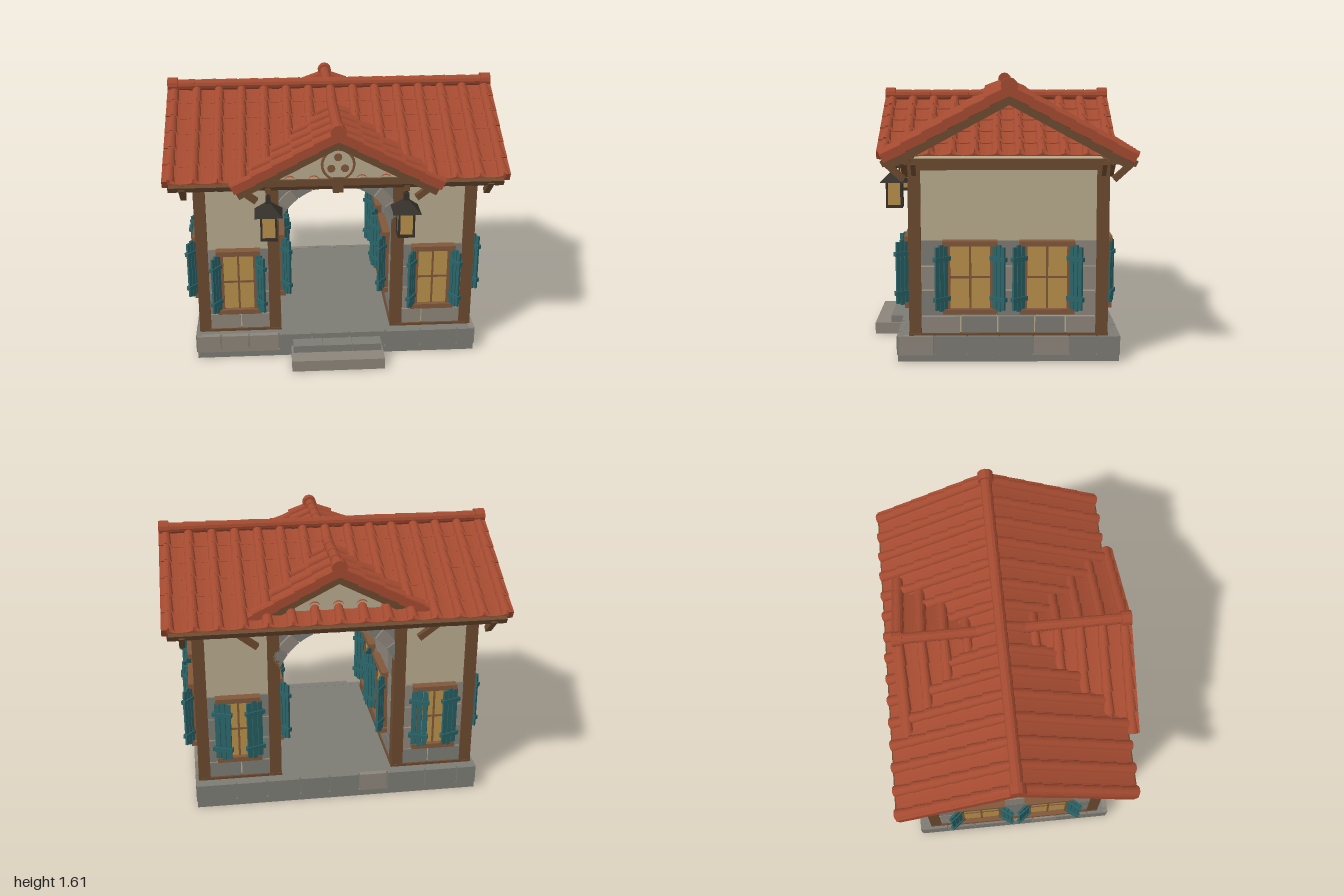
import * as THREE from 'three';
import { mergeGeometries } from 'three/addons/utils/BufferGeometryUtils.js';

const C = { tile: 0xa34a30, darkTile: 0x7a3524, wood: 0x6b4a2f, trim: 0x80573a, plaster: 0xb8aa8c, stone: 0x7c7b74,
  paleStone: 0x8c857a, teal: 0x2a6468, amber: 0xb8904a, iron: 0x35302a };
const MID = -0.055; // z of the house's middle line

let seed = 7;
const rnd = () => (seed = (seed * 16807) % 2147483647) / 2147483647;

const box = (w, h, d, x = 0, y = 0, z = 0) => new THREE.BoxGeometry(w, h, d).translate(x, y, z);

// a square bar between two points
function bar(a, b, t) {
  const p = new THREE.Vector3(...a), q = new THREE.Vector3(...b);
  const m = new THREE.Matrix4().lookAt(q, p, new THREE.Vector3(0, 1, 0)).setPosition(p.clone().add(q).multiplyScalar(0.5));
  return box(t, t, p.distanceTo(q)).applyMatrix4(m);
}

// merges pieces of one colour into a named mesh
function add(parent, name, color, geos, side = THREE.FrontSide) {
  const geo = mergeGeometries(geos.map(g => (g.index ? g.toNonIndexed() : g)));
  const mesh = new THREE.Mesh(geo, new THREE.MeshStandardMaterial({ color, side, flatShading: true }));
  mesh.name = name;
  parent.add(mesh);
  return mesh;
}

function group(parent, name, x = 0, y = 0, z = 0, ry = 0) {
  const g = new THREE.Group();
  g.name = name;
  g.position.set(x, y, z);
  g.rotation.y = ry;
  parent.add(g);
  return g;
}

// courses of blocks along x, in two stone shades, with open joints
function stones(parent, len, y0, heights, depth, avg) {
  const sets = [[], []];
  let y = y0;
  for (const h of heights) {
    let x = -len / 2;
    while (x < len / 2 - 0.001) {
      let w = avg * (0.75 + rnd() * 0.5);
      if (len / 2 - x - w < avg * 0.5) w = len / 2 - x;
      sets[rnd() < 0.7 ? 0 : 1].push(box(w - 0.008, h - 0.008, depth + rnd() * 0.006, x + w / 2, y + h / 2, 0));
      x += w;
    }
    y += h;
  }
  [C.stone, C.paleStone].forEach((c, i) => sets[i].length && add(parent, 'stoneCourses', c, sets[i]));
}

// framed window with two slatted shutters; hinge = offset, angle = opening
function windowUnit(parent, u, half, hinge, angle, width) {
  const g = group(parent, 'window', u, 0, 0.01);
  add(g, 'windowGlass', C.amber, [box(half * 2, 0.36, 0.02, 0, 0.49, 0.005)]);
  const frame = [box(half * 2 + 0.08, 0.03, 0.06, 0, 0.685, 0.015), box(half * 2 + 0.08, 0.03, 0.06, 0, 0.295, 0.015),
    box(0.012, 0.36, 0.03, 0, 0.49, 0.005), box(half * 2, 0.012, 0.03, 0, 0.49, 0.005)];
  for (const s of [-1, 1]) frame.push(box(0.025, 0.38, 0.04, s * (half + 0.01), 0.49, 0.01));
  add(g, 'windowFrame', C.trim, frame);
  for (const s of [-1, 1]) {
    const sh = group(g, 'shutter', s * hinge, 0, 0.025, s > 0 ? -angle : Math.PI + angle);
    const parts = [];
    for (let i = 0; i < 3; i++) parts.push(box(width / 3 - 0.004, i === 1 ? 0.38 : 0.36, 0.014, width * (i + 0.5) / 3, 0.49, 0));
    for (const y of [0.37, 0.6]) parts.push(box(width + 0.02, 0.025, 0.028, width / 2 - 0.004, y, 0));
    add(sh, 'shutterSlats', C.teal, parts);
  }
}

// one roof slope: x along the ridge, z down the slope, y out of the roof
function slope(parent, name, len, run, rise, cols, rows, ry) {
  const side = group(parent, name, 0, 0, 0, ry), g = group(side, 'slopeFrame');
  g.rotation.x = Math.atan(rise / run);
  const L = Math.hypot(run, rise), pitch = (len - 0.08) / cols, step = L / rows;
  add(g, 'roofDeck', C.darkTile, [box(len - 0.03, 0.02, L, 0, -0.005, L / 2)]);
  const pans = [], covers = [], verge = [], wood = [];
  for (let r = 0; r < rows; r++) {
    const z = (r + 0.5) * step;
    for (let c = 0; c <= cols; c++) {
      const x = (c - cols / 2) * pitch;
      covers.push(new THREE.CylinderGeometry(0.034, 0.025, step * 1.1, 8, 1, true, Math.PI / 2, Math.PI)
        .rotateX(Math.PI / 2).rotateX(-0.07).translate(x, 0.02, z));
      if (c < cols) pans.push(new THREE.CylinderGeometry(pitch / 2, pitch / 2, step * 1.08, 8, 1, true, -Math.PI / 2, Math.PI)
        .rotateX(Math.PI / 2).scale(1, 0.3, 1).rotateX(-0.09).translate(x + pitch / 2, 0.032, z));
    }
    for (const s of [-1, 1]) verge.push(box(0.03, 0.05, step * 1.04, 0, 0, 0).rotateX(-0.05).translate(s * (len / 2 - 0.015), 0.012, z));
  }
  add(g, 'panTiles', C.tile, pans, THREE.DoubleSide);
  add(g, 'coverTiles', C.tile, covers, THREE.DoubleSide);
  add(g, 'vergeTiles', C.tile, verge);
  for (const s of [-1, 1]) wood.push(box(0.035, 0.045, L, s * (len / 2 - 0.045), -0.036, L / 2));
  add(g, 'bargeBoards', C.wood, wood);
  return { g, L };
}

function ridge(parent, len, r, ry) {
  const g = group(parent, 'ridge', 0, 0.035, 0, ry), parts = [], n = Math.round(len / 0.13);
  const tube = (a, b, l, x) => new THREE.CylinderGeometry(a, b, l, 12).rotateZ(-Math.PI / 2).translate(x, 0, 0);
  for (let i = 0; i < n; i++) parts.push(tube(r, r * 0.88, len / n * 1.08, ((i + 0.5) / n - 0.5) * (len - 0.06)));
  for (const s of [-1, 1]) parts.push(tube(r + 0.011, r + 0.011, 0.06, s * (len / 2 - 0.03)));
  add(g, 'ridgeTiles', C.tile, parts);
}

function roof(house) {
  const main = group(house, 'mainRoof', 0, 1.53, MID);
  for (const ry of [0, Math.PI]) {
    const { g, L } = slope(main, 'mainSlope', 2, 0.68, 0.367, 14, 6, ry);
    const rafters = [];
    for (let i = 0; i < 15; i++) rafters.push(box(0.035, 0.035, 0.22, (i - 7) * 0.134, -0.032, L - 0.1));
    add(g, 'rafters', C.wood, rafters);
    add(g, 'eaveBoards', C.wood, [box(1.93, 0.035, 0.025, 0, -0.012, L + 0.012), box(1.9, 0.035, 0.035, 0, -0.06, L - 0.1)]);
  }
  ridge(main, 2, 0.036, 0);
  const cross = group(house, 'crossRoof', 0, 1.45, 0.01);
  for (const ry of [-1, 1]) slope(cross, 'crossSlope', 1.4, 0.59, 0.307, 10, 5, ry * Math.PI / 2);
  ridge(cross, 1.4, 0.034, Math.PI / 2);
}

// triangular gable fill with tie beam; the front one carries the pierced disc
function pediment(house, z, ry, ornate) {
  const g = group(house, 'pediment', 0, 0, z, ry);
  const tri = new THREE.Shape([[-0.46, 1.18], [0.46, 1.18], [0, 1.425]].map(p => new THREE.Vector2(...p)));
  add(g, 'pedimentWall', C.plaster, [new THREE.ExtrudeGeometry(tri, { depth: 0.02, bevelEnabled: false })]);
  add(g, 'tieBeam', C.wood, [box(1.06, 0.04, 0.05, 0, 1.175, 0.01), box(0.06, 0.09, 0.07, 0, 1.165, 0.02)]);
  if (!ornate) return;
  const disc = (r, d, x, y) => new THREE.CylinderGeometry(r, r, d, 24).rotateX(Math.PI / 2).translate(x, y, 0.03);
  add(g, 'gableDisc', C.plaster, [disc(0.09, 0.02, 0, 1.285)]);
  add(g, 'discRim', C.trim, [new THREE.TorusGeometry(0.09, 0.009, 6, 24).translate(0, 1.285, 0.035)]);
  add(g, 'discHoles', C.trim, [0, 1, 2].map(i => {
    const a = Math.PI / 2 + i * Math.PI * 2 / 3;
    return disc(0.023, 0.026, 0.045 * Math.cos(a), 1.285 + 0.045 * Math.sin(a));
  }));
}

function lantern(house, x) {
  const g = group(house, 'lantern', x, 0, 0.625);
  add(g, 'lanternGlass', C.amber, [box(0.085, 0.15, 0.085, 0, 0.915, 0)]);
  const iron = [box(0.1, 0.018, 0.1, 0, 0.833, 0), box(0.1, 0.012, 0.1, 0, 0.985, 0), box(0.03, 0.06, 0.03, 0, 1.06, 0),
    new THREE.ConeGeometry(0.115, 0.08, 4).rotateY(Math.PI / 4).translate(0, 1.02, 0), box(0.012, 0.08, 0.012, 0, 1.1, 0)];
  for (const a of [-1, 1]) for (const b of [-1, 1]) iron.push(box(0.012, 0.16, 0.012, a * 0.043, 0.91, b * 0.043));
  add(g, 'lanternFrame', C.iron, iron);
  add(g, 'lanternArm', C.wood, [box(0.03, 0.03, 0.16, 0, 1.125, -0.05)]);
}

function vault(house) {
  const R = 0.366, cy = 0.734, a0 = 0.379, s = new THREE.Shape();
  s.moveTo(0.34, 0.87).lineTo(0.37, 0.87).lineTo(0.37, 1.14).lineTo(-0.37, 1.14).lineTo(-0.37, 0.87).lineTo(-0.34, 0.87);
  s.absarc(0, cy, R, Math.PI - a0, a0, true);
  add(house, 'vault', C.stone, [new THREE.ExtrudeGeometry(s, { depth: 1.08, bevelEnabled: false, curveSegments: 20 }).translate(0, 0, MID - 0.54)]);
  const sets = [[], []], n = 9, da = (Math.PI - 2 * a0) / n;
  for (let i = 0; i < n; i++) {
    const a = a0 + i * da, v = new THREE.Shape();
    v.absarc(0, cy, R - 0.004, a + 0.01, a + da - 0.01, false);
    v.absarc(0, cy, R + 0.065, a + da - 0.01, a + 0.01, true);
    for (const z of [0.47, -0.62]) sets[i % 2].push(new THREE.ExtrudeGeometry(v, { depth: 0.04, bevelEnabled: false, curveSegments: 3 }).translate(0, 0, z));
    sets[0].push(box(0.02, R * da - 0.012, 1.0, R, 0, 0).rotateZ(a + da / 2).translate(0, cy, MID));
  }
  add(house, 'archStones', C.stone, sets[0]);
  add(house, 'archStonesPale', C.paleStone, sets[1]);
}

export function createModel() {
  seed = 7;
  const house = new THREE.Group();
  house.name = 'gatehouse';

  // plinth with block edging, and the steps
  const base = group(house, 'plinth', 0, 0, MID);
  add(base, 'plinthCore', C.stone, [box(1.71, 0.04, 1.26, 0, 0.02, 0), box(1.68, 0.147, 1.23, 0, 0.0735, 0)]);
  for (let i = 0; i < 4; i++) {
    const wide = i % 2 === 0, face = group(base, 'plinthSide', 0, 0, 0, i * Math.PI / 2);
    stones(group(face, 'edging', 0, 0, wide ? 0.62 : 0.845), wide ? 1.72 : 1.26, 0.035, [0.117], 0.03, 0.2);
  }
  add(house, 'lowerStep', C.paleStone, [box(0.56, 0.07, 0.2, 0, 0.035, 0.67)]);
  add(house, 'upperStep', C.stone, [-1, 0, 1].map(i => box(0.178, 0.115, 0.11, i * 0.18, 0.0575, 0.615)));

  // two solid rooms either side of the vaulted passage
  for (const s of [-1, 1]) {
    const room = group(house, 'room', 0, 0, 0);
    add(room, 'plasterWalls', C.plaster, [box(0.46, 0.98, 1.09, s * 0.59, 0.64, MID)]);
    const front = group(room, 'frontWall', s * 0.59, 0, 0.49), back = group(room, 'backWall', s * 0.59, 0, -0.6, Math.PI);
    const outer = group(room, 'outerWall', s * 0.82, 0, MID, s * Math.PI / 2);
    const inner = group(room, 'passageWall', s * 0.36, 0, MID, -s * Math.PI / 2);
    const rows = [0.11, 0.15, 0.14, 0.15];
    for (const w of [front, back]) stones(w, 0.37, 0.15, rows, 0.02, 0.16);
    stones(outer, 1.0, 0.15, rows, 0.02, 0.2);
    stones(inner, 1.0, 0.15, [...rows, 0.16], 0.02, 0.2);
    windowUnit(front, 0, 0.092, 0.11, 0.95, 0.08);
    windowUnit(back, 0, 0.092, 0.14, 2.8, 0.1);
    for (const u of [-0.217, 0.217]) {
      windowUnit(outer, u, 0.115, 0.128, 0.66, 0.085);
      windowUnit(inner, u, 0.115, 0.128, 0.66, 0.085);
    }
    // corner posts, plates and eave brackets
    const timber = [];
    for (const z of [0.475, -0.585]) {
      for (const x of [0.375, 0.805]) timber.push(box(0.07, 0.98, 0.07, s * x, 0.64, z));
      timber.push(box(0.5, 0.04, 0.06, s * 0.59, 1.12, z), box(0.5, 0.016, 0.076, s * 0.59, 0.154, z));
    }
    for (const x of [0.375, 0.805]) timber.push(box(0.06, 0.045, 1.12, s * x, 1.118, MID), box(0.076, 0.016, 1.13, s * x, 0.154, MID));
    timber.push(box(0.04, 0.03, 1.38, s * 0.89, 1.15, MID));
    for (const d of [-1, 1]) {
      const z = t => MID + d * t;
      timber.push(bar([s * 0.89, 1.05, z(0.58)], [s * 0.89, 1.15, z(0.69)], 0.035));
      timber.push(bar([s * 0.47, 1.03, z(0.61)], [s * 0.6, 1.13, z(0.61)], 0.035));
      timber.push(bar([s * 0.82, 1.06, z(0.53)], [s * 0.89, 1.14, z(0.53)], 0.025));
      timber.push(box(0.035, 0.035, 0.16, s * 0.58, 1.14, z(0.6)));
    }
    add(room, 'timberFrame', C.wood, timber);
    lantern(house, s * 0.4);
  }
  add(house, 'ceiling', C.plaster, [box(1.62, 0.02, 1.1, 0, 1.14, MID)]);

  vault(house);
  pediment(house, 0.625, 0, true);
  pediment(house, -0.62, Math.PI, false);
  roof(house);
  return house;
}
